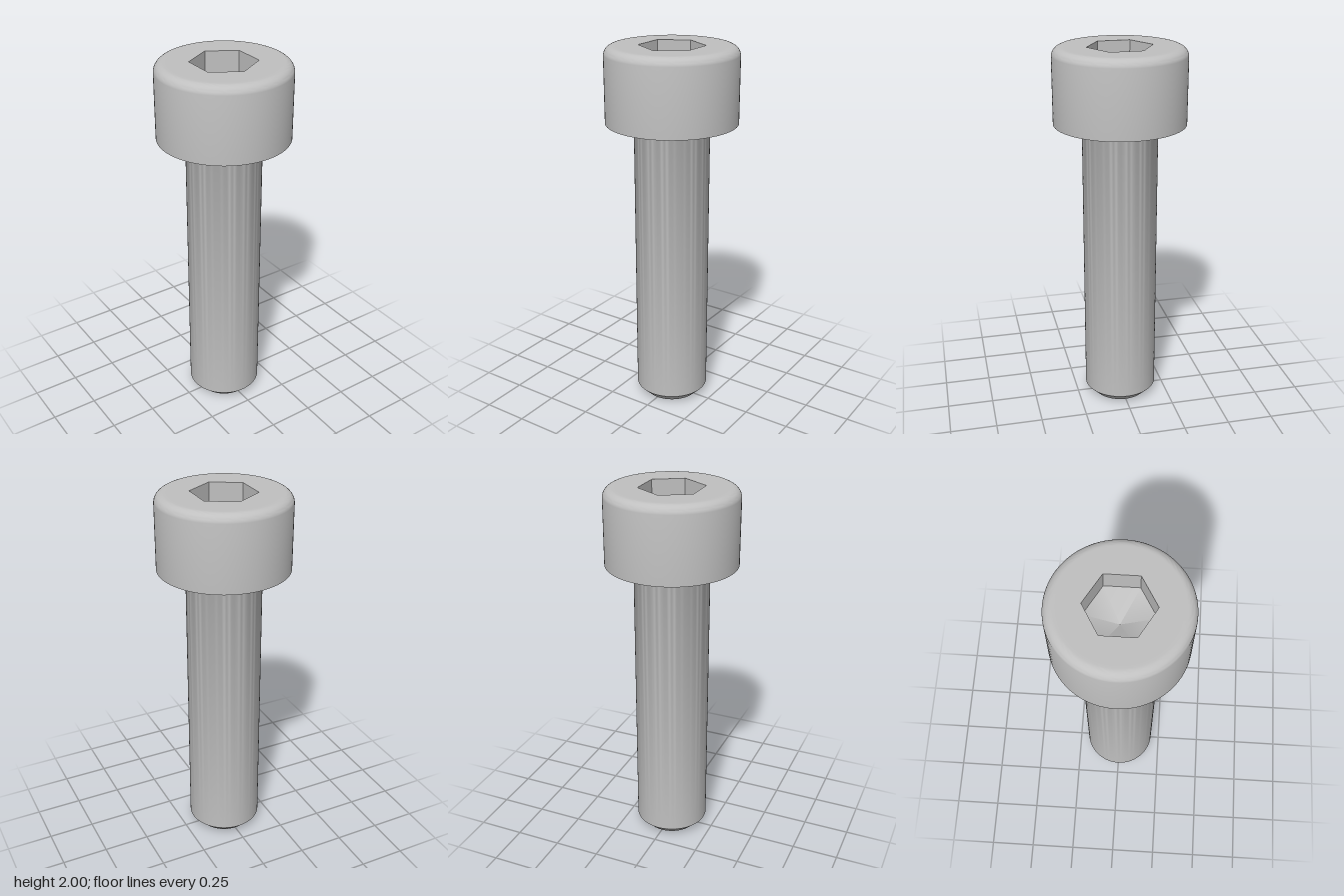
import * as THREE from 'three';
import { toCreasedNormals } from 'three/addons/utils/BufferGeometryUtils.js';

const SEGMENTS = 96;
const HEAD_R = 0.35, HEAD_BOTTOM = 1.6, TOP = 2, FILLET = 0.05;
const SHAFT_R = 0.2, CHAMFER = 0.05, NECK = 0.01;
const HEX_R = 0.15 / Math.cos(Math.PI / 6), WALL_BOTTOM = 1.88, SOCKET_TIP = 1.79;

const lathe = (points, segments = SEGMENTS) =>
  new THREE.LatheGeometry(points.map(([r, y]) => new THREE.Vector2(r, y)), segments);

// Points of a quarter-circle or other arc in the profile plane
const arc = (cx, cy, r, from, to, steps) =>
  Array.from({ length: steps + 1 }, (_, i) => {
    const a = from + ((to - from) * i) / steps;
    return [cx + r * Math.cos(a), cy + r * Math.sin(a)];
  });

export function createModel() {
  const group = new THREE.Group();
  const steel = new THREE.MeshStandardMaterial({ color: 0xc0c0c0 });
  steel.name = 'steel';

  const add = (name, geometry) => {
    const mesh = new THREE.Mesh(geometry, steel);
    mesh.name = name;
    group.add(mesh);
    return mesh;
  };

  // Shaft: chamfered tip and a tiny fillet under the head
  add('shaft', toCreasedNormals(lathe([
    [0, 0], [SHAFT_R - CHAMFER, 0], [SHAFT_R, CHAMFER],
    ...arc(SHAFT_R + NECK, HEAD_BOTTOM - NECK, NECK, Math.PI, Math.PI / 2, 4),
  ]), 0.6));

  // Head: flat underside, straight wall, rounded top rim
  add('head', toCreasedNormals(lathe([
    [SHAFT_R + NECK, HEAD_BOTTOM], [HEAD_R, HEAD_BOTTOM],
    ...arc(HEAD_R - FILLET, TOP - FILLET, FILLET, 0, Math.PI / 2, 10),
    [HEAD_R - FILLET - 0.01, TOP],
  ]), 0.6));

  // Flat top with a hexagonal opening
  const face = new THREE.Shape().absarc(0, 0, HEAD_R - FILLET - 0.01, 0, Math.PI * 2);
  const hex = Array.from({ length: 6 }, (_, i) => {
    const a = Math.PI / 2 - (i * Math.PI) / 3;
    return new THREE.Vector2(HEX_R * Math.cos(a), HEX_R * Math.sin(a));
  });
  face.holes.push(new THREE.Path(hex));
  add('headTop', new THREE.ShapeGeometry(face, SEGMENTS / 2).rotateX(-Math.PI / 2))
    .position.y = TOP;

  // Socket: six flat walls facing inward above a shallow pointed floor
  const walls = lathe([[HEX_R, TOP], [HEX_R, WALL_BOTTOM]], 6).toNonIndexed();
  walls.computeVertexNormals();
  add('socketWalls', walls);
  add('socketFloor', lathe([[HEX_R, WALL_BOTTOM], [0, SOCKET_TIP]], 6));

  return group;
}
